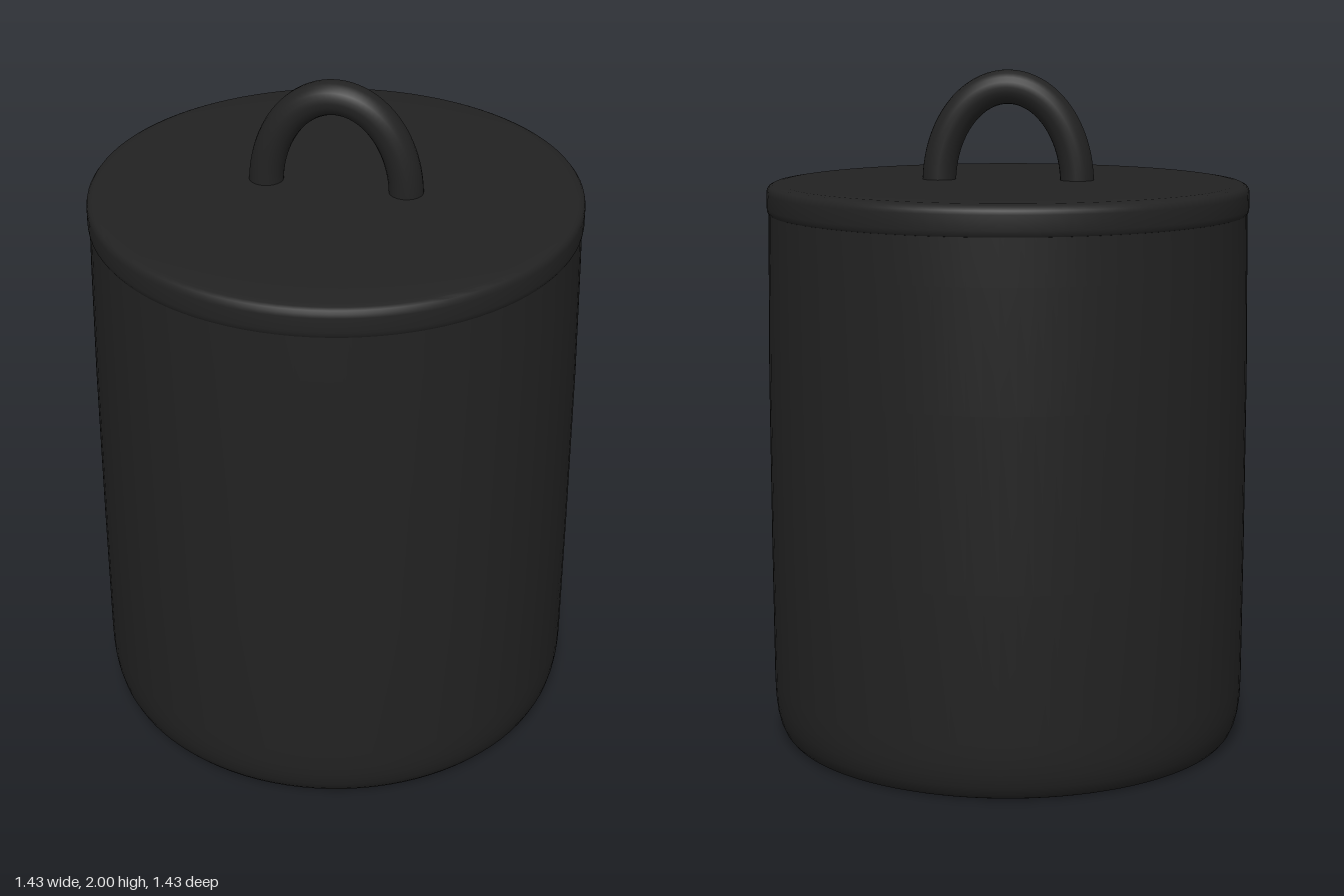
import * as THREE from 'three';
import { toCreasedNormals } from 'three/addons/utils/BufferGeometryUtils.js';

const black = new THREE.MeshStandardMaterial({ color: 0x222222 });
black.name = 'matte black';

// Turned part from [radius, height] pairs, listed from bottom to top
function turned(name, profile) {
  const points = profile.map(([r, y]) => new THREE.Vector2(r, y));
  const geometry = toCreasedNormals(new THREE.LatheGeometry(points, 96), 0.6);
  const mesh = new THREE.Mesh(geometry, black);
  mesh.name = name;
  return mesh;
}

// Half-ellipse arch for the handle, ending just inside the lid
class ArchCurve extends THREE.Curve {
  getPoint(t, target = new THREE.Vector3()) {
    const a = Math.PI * (1 - t);
    return target.set(0.205 * Math.cos(a), 1.665 + 0.285 * Math.sin(a), 0);
  }
}

export function createModel() {
  const group = new THREE.Group();
  group.name = 'lidded canister';

  // Body with a softly rounded foot and a slight taper to the rim
  group.add(turned('body', [
    [0, 0], [0.665, 0], [0.677, 0.005], [0.688, 0.018], [0.699, 0.042],
    [0.707, 0.075], [0.712, 0.115], [0.714, 0.17], [0.715, 0.6],
    [0.714, 1.1], [0.709, 1.45], [0.706, 1.59], [0, 1.59],
  ]));

  // Lid with a rounded edge and a barely domed top
  group.add(turned('lid', [
    [0, 1.582], [0.698, 1.582], [0.707, 1.585], [0.711, 1.592], [0.712, 1.602],
    [0.712, 1.645], [0.710, 1.656], [0.704, 1.664], [0.694, 1.669],
    [0.675, 1.672], [0.5, 1.675], [0.3, 1.678], [0, 1.678],
  ]));

  // Arched handle
  const handle = new THREE.Mesh(
    new THREE.TubeGeometry(new ArchCurve(), 48, 0.05, 20, false), black);
  handle.name = 'handle';
  group.add(handle);

  return group;
}
